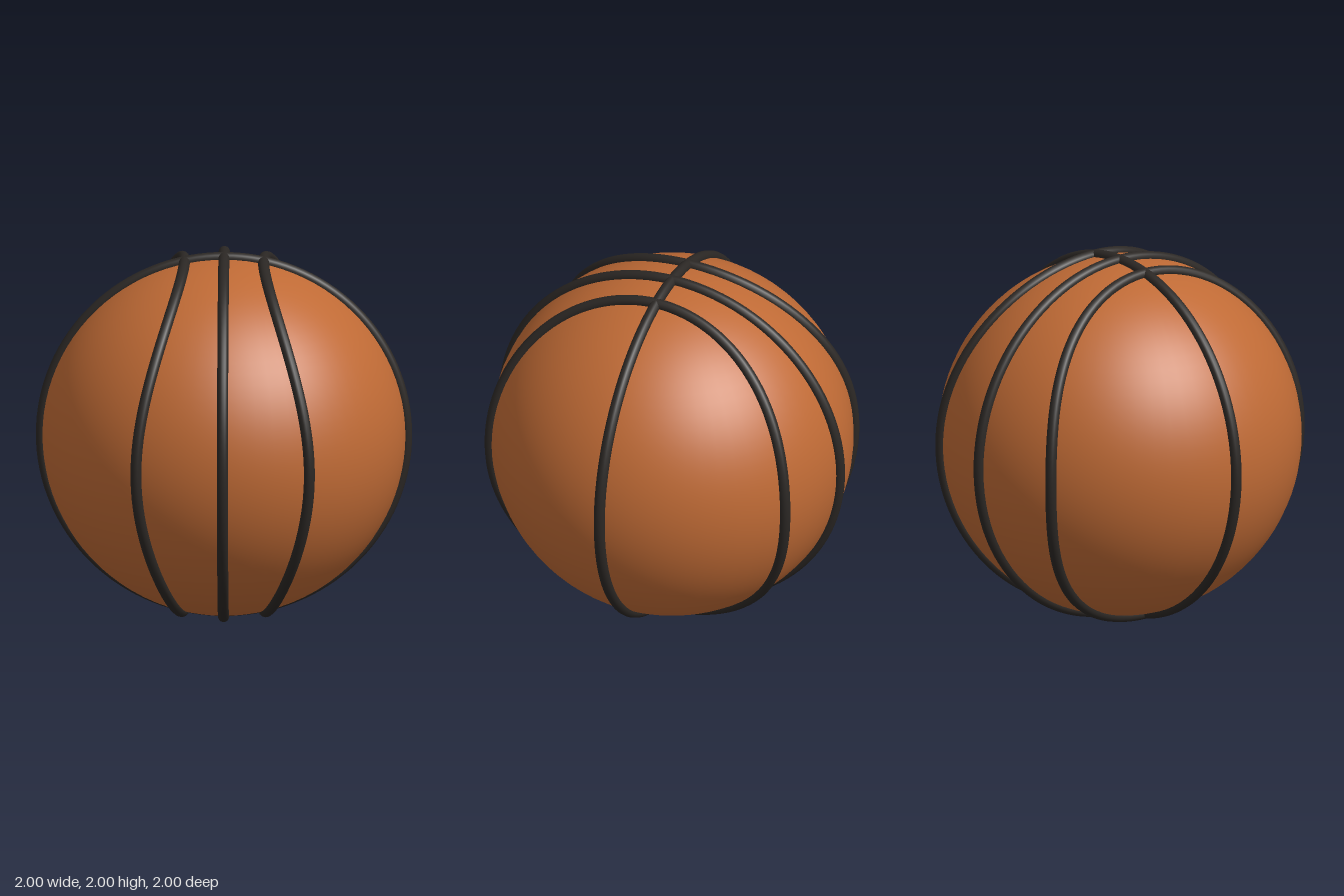
import * as THREE from 'three';

const BALL_RADIUS = 0.966;
const SEAM_PATH = 0.97; // distance of seam centre lines from the ball centre
const SEAM_RADIUS = 0.03;

// Closed loop lying on the ball, offset sideways: narrow at the poles, wide at front and back
class BowedSeam extends THREE.Curve {
  constructor(side) {
    super();
    this.side = side;
  }
  getPoint(t, target = new THREE.Vector3()) {
    const a = t * Math.PI * 2;
    const x = 0.21 + 0.25 * Math.cos(a) ** 2;
    const r = Math.sqrt(SEAM_PATH ** 2 - x * x);
    return target.set(this.side * x, r * Math.sin(a), r * Math.cos(a));
  }
}

export function createModel() {
  const group = new THREE.Group();
  group.name = 'basketball';
  const leather = new THREE.MeshStandardMaterial({ color: 0xbf6a35 });
  const rubber = new THREE.MeshStandardMaterial({ color: 0x2b2724 });

  const add = (name, geometry, material) => {
    const mesh = new THREE.Mesh(geometry, material);
    mesh.name = name;
    mesh.position.y = 1;
    group.add(mesh);
    return mesh;
  };

  // Ball body
  add('ball', new THREE.SphereGeometry(BALL_RADIUS, 64, 48), leather);

  // Two straight seams crossing at the poles
  const ring = new THREE.TorusGeometry(SEAM_PATH, SEAM_RADIUS, 14, 128);
  add('sideSeam', ring, rubber);
  add('centreSeam', ring, rubber).rotation.y = Math.PI / 2;

  // Bowed seams on the left and right
  for (const side of [1, -1]) {
    const tube = new THREE.TubeGeometry(new BowedSeam(side), 128, SEAM_RADIUS, 14, true);
    add(side > 0 ? 'leftBowedSeam' : 'rightBowedSeam', tube, rubber);
  }
  return group;
}
